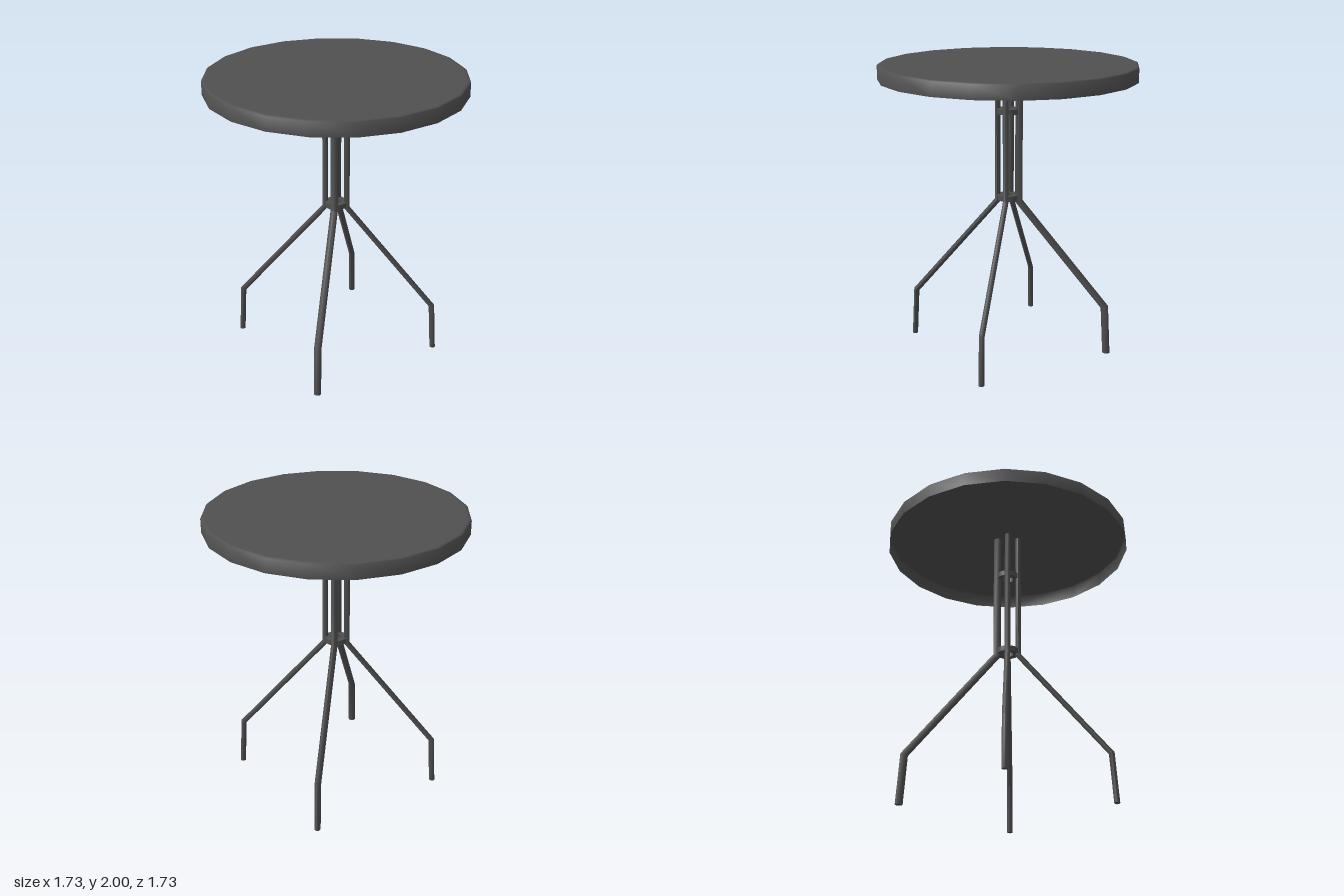
import * as THREE from 'three';
import { toCreasedNormals } from 'three/addons/utils/BufferGeometryUtils.js';

const SIDES = 8;

// Rounded bar swept along a path in the xy plane, mitred at the bends, cut level at both ends.
function bentBar(path, radius, sideRadius) {
  const pts = path.map(([x, y]) => new THREE.Vector2(x, y));
  const pos = [], index = [];
  pts.forEach((p, i) => {
    let across = new THREE.Vector2(1, 0);
    if (i > 0 && i < pts.length - 1) {
      const a = p.clone().sub(pts[i - 1]).normalize();
      const b = pts[i + 1].clone().sub(p).normalize();
      const t = a.clone().add(b).normalize();
      across = new THREE.Vector2(t.y, -t.x).divideScalar(t.dot(a));
    }
    for (let j = 0; j < SIDES; j++) {
      const ang = (j / SIDES) * Math.PI * 2;
      const c = Math.cos(ang) * radius, s = Math.sin(ang) * sideRadius;
      pos.push(p.x + across.x * c, p.y + across.y * c, s);
    }
  });
  const last = (pts.length - 1) * SIDES;
  for (let i = 0; i < pts.length - 1; i++) {
    for (let j = 0; j < SIDES; j++) {
      const k = (j + 1) % SIDES;
      const a = i * SIDES + j, b = i * SIDES + k;
      index.push(a, a + SIDES, b, b, a + SIDES, b + SIDES);
    }
  }
  for (let j = 1; j < SIDES - 1; j++) {
    index.push(0, j, j + 1, last, last + j + 1, last + j);
  }
  const geo = new THREE.BufferGeometry();
  geo.setAttribute('position', new THREE.Float32BufferAttribute(pos, 3));
  geo.setIndex(index);
  return toCreasedNormals(geo, 0.9);
}

// Turned shape from [radius, y] pairs, with sharp corners kept
function turned(profile, segments) {
  const points = profile.map(([r, y]) => new THREE.Vector2(r, y));
  return toCreasedNormals(new THREE.LatheGeometry(points, segments), 0.9);
}

export function createModel() {
  const group = new THREE.Group();
  const material = new THREE.MeshStandardMaterial({ color: 0x505050 });
  const thinMaterial = new THREE.MeshStandardMaterial({ color: 0x505050, side: THREE.DoubleSide });
  const add = (name, geometry, mat = material) => {
    const mesh = new THREE.Mesh(geometry, mat);
    mesh.name = name;
    group.add(mesh);
    return mesh;
  };

  // Round top: a thin shell, open underneath, with a slightly eased upper edge
  add('tableTop', turned([[0.863, 1.9], [0.863, 1.993], [0.856, 2], [0.84, 2], [0, 2]], 20), thinMaterial);

  // Four bent legs reaching up to the underside of the top
  const legPath = [[0.705, 0], [0.685, 0.34], [0.074, 1.06], [0.074, 1.997]];
  const legs = [
    ['leftLeg', 0.0195, 0.0195],
    ['backLeg', 0.026, 0.022],
    ['rightLeg', 0.0195, 0.0195],
    ['frontLeg', 0.0195, 0.025],
  ];
  legs.forEach(([name, radius, sideRadius], i) => {
    add(name, bentBar(legPath, radius, sideRadius)).rotation.y = (i * Math.PI) / 2;
  });

  // Square-section rings tying the legs together
  const ringProfile = [[0.04, -0.018], [0.075, -0.018], [0.075, 0.018], [0.04, 0.018], [0.04, -0.018]];
  [['lowerRing', 1.085], ['upperRing', 1.68]].forEach(([name, y]) => {
    add(name, turned(ringProfile, 16)).position.y = y;
  });

  return group;
}
